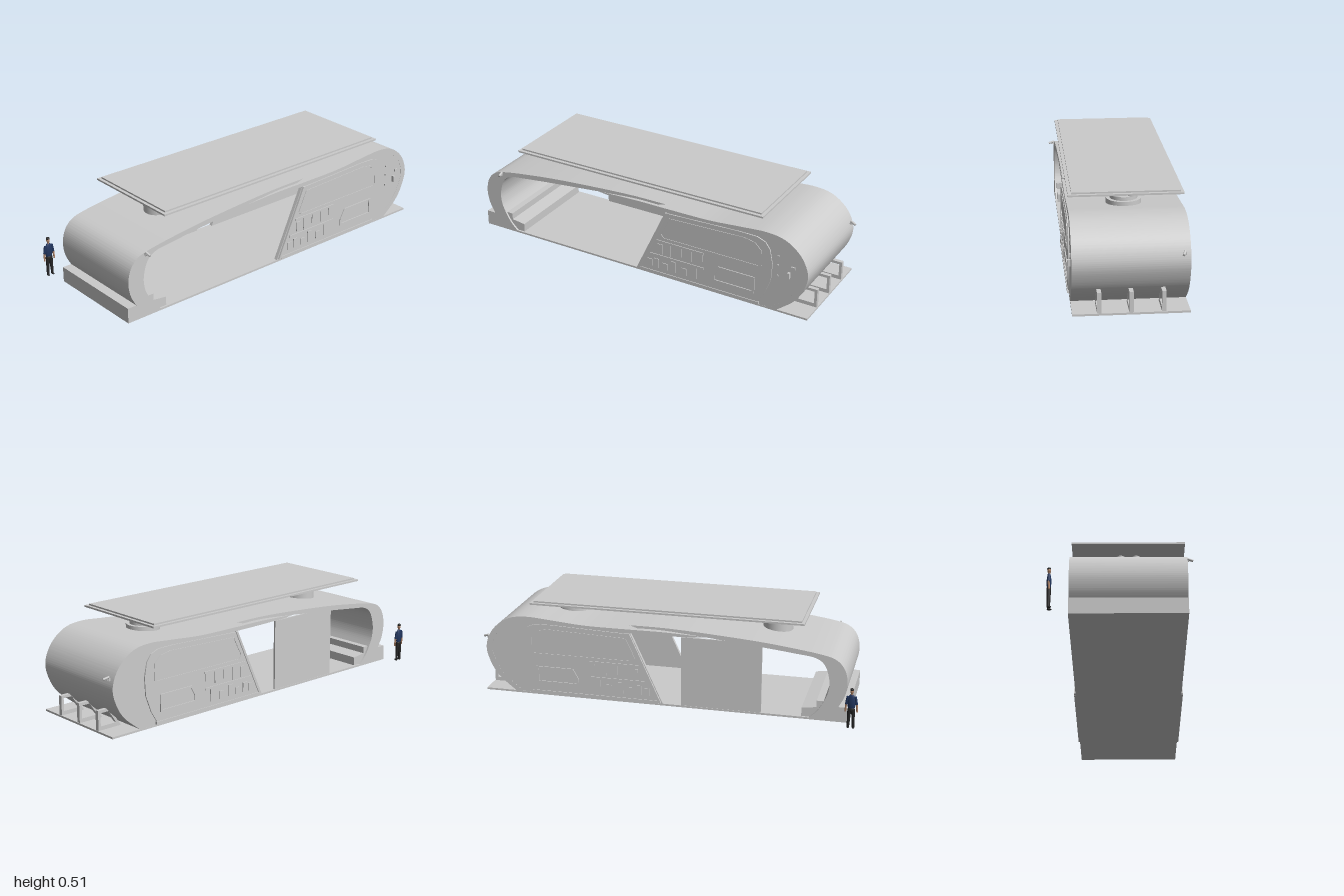
import * as THREE from 'three';
import { toCreasedNormals } from 'three/addons/utils/BufferGeometryUtils.js';

const X0 = -0.243, X1 = 0.305, XC = (X0 + X1) / 2;
const grey = new THREE.MeshStandardMaterial({ color: 0xcccccc, side: THREE.DoubleSide });
const paint = (color) => new THREE.MeshStandardMaterial({ color });
const vecs = (pts) => pts.map(([a, b]) => new THREE.Vector2(a, b));

export function createModel() {
  const model = new THREE.Group();

  const add = (name, geometry, parent = model, material = grey) => {
    const mesh = new THREE.Mesh(geometry, material);
    mesh.name = name;
    parent.add(mesh);
    return mesh;
  };
  const box = (name, x0, x1, y0, y1, z0, z1, parent, material) => {
    const g = new THREE.BoxGeometry(x1 - x0, y1 - y0, z1 - z0);
    g.translate((x0 + x1) / 2, (y0 + y1) / 2, (z0 + z1) / 2);
    return add(name, g, parent, material);
  };
  // Extrude an outline drawn in (z, y) across the width from x0 to x1
  const across = (name, shape, x0, x1, parent) => {
    const g = new THREE.ExtrudeGeometry(shape, { depth: x1 - x0, bevelEnabled: false, curveSegments: 40 });
    g.rotateY(-Math.PI / 2);
    g.translate(x1, 0, 0);
    return add(name, toCreasedNormals(g, 0.45), parent);
  };
  const poly = (pts) => new THREE.Shape(vecs(pts));
  const framed = (outer, inner) => {
    const s = poly(outer);
    s.holes.push(new THREE.Path(vecs(inner)));
    return s;
  };

  // Floor slab running the full length
  box('floor', X0, X1, 0, 0.01, -0.97, 0.945);

  // Front shell: base plinth, bulging nose and long roof that tapers to a tip
  const front = new THREE.Shape();
  front.moveTo(0.74, 0);
  front.lineTo(0.945, 0);
  front.lineTo(0.945, 0.08);
  front.lineTo(0.895, 0.08);
  front.splineThru(vecs([[0.925, 0.14], [0.936, 0.21], [0.92, 0.28], [0.875, 0.328], [0.8, 0.35],
    [0.65, 0.372], [0.47, 0.392], [0.2, 0.412], [0, 0.422], [-0.18, 0.423]]));
  front.lineTo(-0.14, 0.41);
  front.splineThru(vecs([[0, 0.409], [0.2, 0.392], [0.48, 0.365], [0.68, 0.343], [0.77, 0.33],
    [0.82, 0.295], [0.845, 0.22], [0.843, 0.16], [0.825, 0.11], [0.79, 0.05], [0.74, 0]]));
  across('frontShell', front, X0, X1);

  // Rear shell: roof starting under the front tip, wrapping down the rounded back
  const rear = new THREE.Shape();
  rear.moveTo(0.22, 0.391);
  rear.splineThru(vecs([[0, 0.399], [-0.2, 0.399], [-0.42, 0.401], [-0.6, 0.415], [-0.74, 0.424],
    [-0.84, 0.406], [-0.92, 0.345], [-0.96, 0.26], [-0.95, 0.18], [-0.9, 0.09], [-0.8, 0.005]]));
  rear.lineTo(-0.76, 0.005);
  rear.splineThru(vecs([[-0.87, 0.1], [-0.92, 0.19], [-0.928, 0.26], [-0.89, 0.335], [-0.82, 0.38],
    [-0.74, 0.395], [-0.6, 0.388], [-0.42, 0.378], [-0.2, 0.378], [0, 0.38], [0.16, 0.384]]));
  across('rearShell', rear, X0, X1);

  // Interior: side screen, stepped bench, ceiling lamp
  box('sideScreen', X0 + 0.002, X0 + 0.012, 0.005, 0.38, 0.09, 0.505);
  across('bench', poly([[0.71, 0.005], [0.83, 0.005], [0.84, 0.13], [0.825, 0.1], [0.785, 0.1],
    [0.785, 0.065], [0.71, 0.055]]), X0 + 0.01, X1 - 0.01);
  const lamp = add('ceilingLamp', new THREE.SphereGeometry(0.012, 16, 12));
  lamp.position.set(0.26, 0.363, 0.475);

  // Rear side walls with raised cladding, mirrored on both sides
  const wall = [[-0.005, 0.005], [-0.18, 0.385], [-0.42, 0.385], [-0.6, 0.398], [-0.74, 0.405], [-0.83, 0.39],
    [-0.9, 0.34], [-0.94, 0.26], [-0.93, 0.18], [-0.88, 0.095], [-0.78, 0.005]];
  const cladding = [[-0.02, 0.025], [-0.18, 0.375], [-0.6, 0.39], [-0.69, 0.388], [-0.735, 0.37], [-0.76, 0.335],
    [-0.775, 0.26], [-0.77, 0.17], [-0.74, 0.085], [-0.705, 0.025]];
  const upperFrame = [[-0.15, 0.245], [-0.2, 0.352], [-0.62, 0.366], [-0.68, 0.355], [-0.715, 0.32],
    [-0.72, 0.235], [-0.71, 0.225], [-0.165, 0.225]];
  const upperInner = upperFrame.map(([z, y]) => [-0.44 + (z + 0.44) * 0.975, 0.295 + (y - 0.295) * 0.9]);
  const windowOuter = [[-0.455, 0.07], [-0.455, 0.105], [-0.485, 0.16], [-0.685, 0.16], [-0.685, 0.07]];
  const windowInner = [[-0.467, 0.08], [-0.467, 0.105], [-0.49, 0.15], [-0.673, 0.15], [-0.673, 0.08]];
  // Step pattern: alternating long and short bars, [z, bottom, top]
  const bars = [[-0.09, 0.05, 0.09], [-0.13, 0.05, 0.1], [-0.18, 0.05, 0.085], [-0.23, 0.05, 0.11],
    [-0.29, 0.05, 0.09], [-0.35, 0.05, 0.12], [-0.15, 0.135, 0.19], [-0.2, 0.13, 0.2], [-0.26, 0.15, 0.2],
    [-0.32, 0.14, 0.2], [-0.38, 0.16, 0.2]];
  for (const side of [-1, 1]) {
    const group = new THREE.Group();
    group.name = side > 0 ? 'leftRearSide' : 'rightRearSide';
    model.add(group);
    // d0 and d1 are distances outwards from the edge of the body
    const span = (d0, d1) => (side > 0 ? [X1 + d0, X1 + d1] : [X0 - d1, X0 - d0]);
    const panel = (name, shape, d0, d1) => across(name, shape, ...span(d0, d1), group);
    panel('sideWall', poly(wall), -0.02, -0.001);
    panel('cladding', poly(cladding), -0.002, 0.005);
    panel('upperFrame', framed(upperFrame, upperInner), 0.004, 0.008);
    panel('windowFrame', framed(windowOuter, windowInner), 0.004, 0.01);
    panel('slantedTrim', poly([[-0.015, 0.015], [-0.18, 0.378], [-0.193, 0.378], [-0.03, 0.015]]), -0.002, 0.009);
    box('bottomRail', ...span(0, 0.009), 0.012, 0.026, -0.71, -0.03, group);
    for (const [z, y0, y1] of bars) {
      box('patternBar', ...span(0.004, 0.009), y0, y1, z - 0.014, z + 0.014, group);
    }
    for (const y of [0.115, 0.2]) {
      box('patternBand', ...span(0.004, 0.009), y, y + 0.012, -0.4, y < 0.15 ? -0.09 : -0.13, group);
    }
  }

  // Small fittings on the left rear wall
  box('wallBox', X1 - 0.003, 0.319, 0.207, 0.24, -0.87, -0.858);
  box('wallSensor', X1 - 0.003, 0.311, 0.262, 0.275, -0.895, -0.875);
  for (const y of [0.2, 0.26, 0.31]) box('wallStud', X1 - 0.003, 0.309, y, y + 0.008, -0.808, -0.8);

  // Three open brackets behind the rounded back
  for (const x of [-0.12, 0.031, 0.18]) {
    across('rearBracket', framed([[-0.83, 0.005], [-0.9, 0.11], [-0.967, 0.11], [-0.967, 0.005]],
      [[-0.862, 0.03], [-0.905, 0.096], [-0.953, 0.096], [-0.953, 0.03]]), x - 0.01, x + 0.01);
  }

  // Flat canopy carried on two stepped pedestals
  box('canopyFrame', X0, X1, 0.491, 0.5, -0.713, 0.713);
  box('canopyPanel', X0 + 0.016, X1 - 0.017, 0.5, 0.508, -0.697, 0.697);
  const disc = (name, r, y0, y1, x, z, parent) => {
    const g = new THREE.CylinderGeometry(r, r, y1 - y0, 40);
    g.translate(x, (y0 + y1) / 2, z);
    add(name, g, parent);
  };
  for (const [z, r, y0, y1] of [[0.54, 0.077, 0.37, 0.439], [-0.56, 0.085, 0.39, 0.438]]) {
    const pedestal = new THREE.Group();
    pedestal.name = z > 0 ? 'frontPedestal' : 'rearPedestal';
    model.add(pedestal);
    disc('pedestalBase', r, y0, y1, XC, z, pedestal);
    disc('pedestalStep', 0.067, y1, 0.456, XC, z, pedestal);
    for (const dx of [-0.038, 0.038]) {
      for (const dz of [-0.036, 0.036]) disc('pedestalPost', 0.022, 0.455, 0.492, XC + dx, z + dz, pedestal);
    }
  }

  // Security cameras: mount, arm and tilted barrel
  const camera = (name, x, y, z, turn) => {
    const group = new THREE.Group();
    group.name = name;
    group.position.set(x, y, z);
    group.rotation.y = turn;
    model.add(group);
    box('cameraMount', -0.002, 0.004, -0.014, 0.002, -0.006, 0.006, group);
    box('cameraArm', 0, 0.014, -0.011, -0.007, -0.002, 0.002, group);
    const barrel = add('cameraBarrel', new THREE.CylinderGeometry(0.006, 0.006, 0.032, 16), group);
    barrel.rotation.z = Math.PI / 2 - 0.3;
    barrel.position.set(0.016, 0, 0);
  };
  camera('frontCamera', X1, 0.338, 0.83, 0.1);
  camera('rearCamera', -0.215, 0.293, -0.957, Math.PI / 2 - 0.35);

  // Standing figure for scale, shoulders along z
  const person = new THREE.Group();
  person.name = 'person';
  person.position.set(-0.33, 0.012, 0.968);
  model.add(person);
  const skin = paint(0xb08468), shirt = paint(0x22365f), dark = paint(0x262626);
  const limb = (name, r0, r1, from, to, mat) => {
    const a = new THREE.Vector3(...from), b = new THREE.Vector3(...to);
    const mesh = add(name, new THREE.CylinderGeometry(r1, r0, a.distanceTo(b), 12), person, mat);
    mesh.position.copy(a).add(b).multiplyScalar(0.5);
    mesh.quaternion.setFromUnitVectors(new THREE.Vector3(0, 1, 0), b.sub(a).normalize());
  };
  const blob = (name, x, y, z, sx, sy, sz, mat) => {
    const mesh = add(name, new THREE.SphereGeometry(1, 16, 12), person, mat);
    mesh.position.set(x, y, z);
    mesh.scale.set(sx, sy, sz);
  };
  blob('torso', 0, 0.135, 0, 0.011, 0.045, 0.021, shirt);
  blob('hips', 0, 0.097, 0, 0.011, 0.016, 0.017, dark);
  limb('neck', 0.005, 0.005, [0, 0.168, 0], [0, 0.185, 0], skin);
  blob('head', 0, 0.193, 0, 0.009, 0.013, 0.009, skin);
  blob('hair', -0.001, 0.202, 0, 0.009, 0.008, 0.009, dark);
  for (const s of [-1, 1]) {
    limb('leg', 0.006, 0.01, [0, 0.002, s * 0.013], [0, 0.1, s * 0.009], dark);
    blob('shoe', 0.003, 0.003, s * 0.013, 0.011, 0.005, 0.006, dark);
    limb('sleeve', 0.006, 0.007, [0, 0.125, s * 0.026], [0, 0.165, s * 0.018], shirt);
    limb('forearm', 0.004, 0.005, [0.003, 0.085, s * 0.029], [0, 0.127, s * 0.026], skin);
  }

  return model;
}
